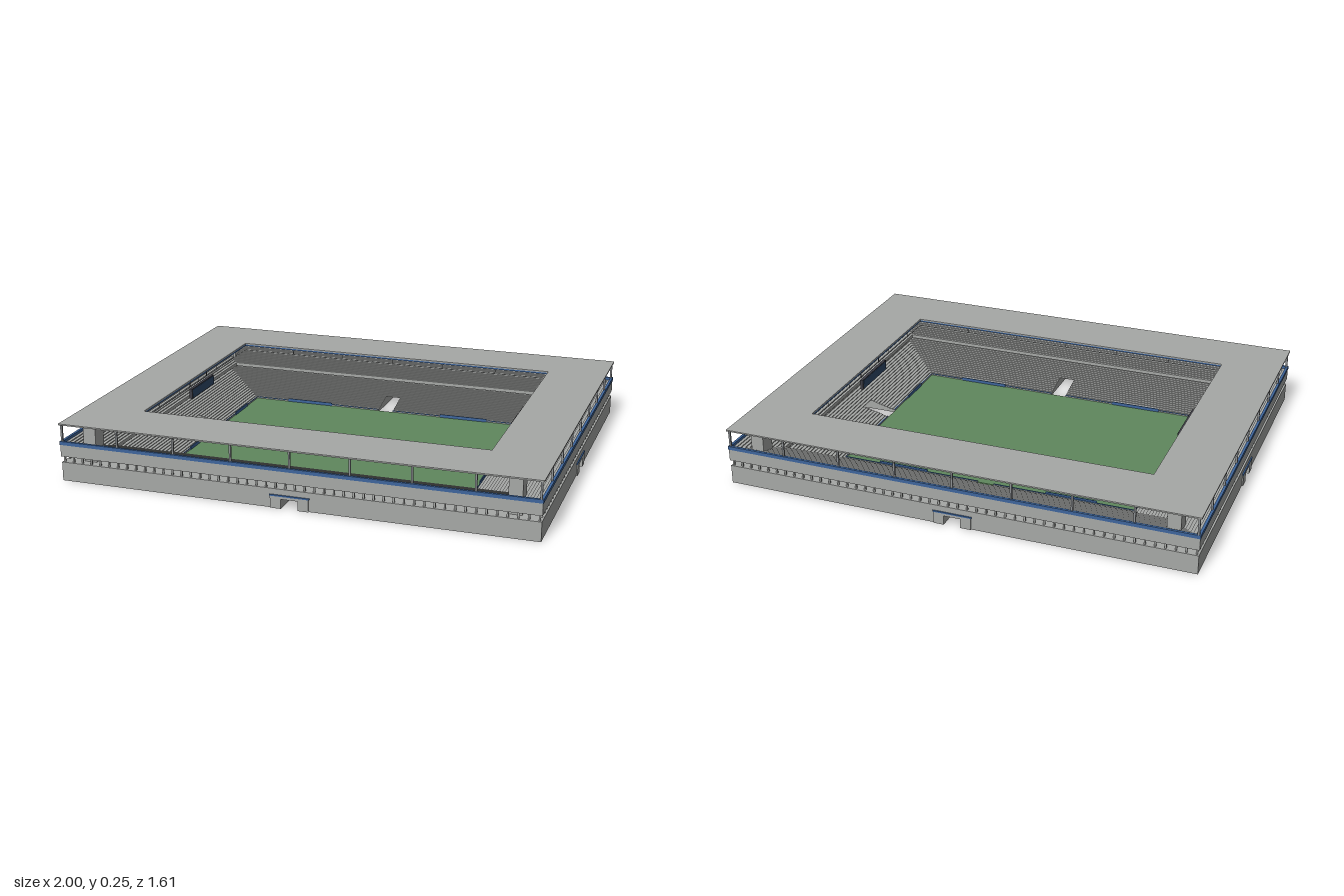
import * as THREE from 'three';

const PX = 0.645, PZ = 0.45; // half size of the pitch; offsets d run outward from it
const GATE = 0.035, GATE_H = 0.04;

const mat = (name, color, side = THREE.FrontSide) => {
  const m = new THREE.MeshStandardMaterial({ color, side });
  m.name = name;
  return m;
};

export function createModel() {
  const concrete = mat('concrete', 0xa6a8a6, THREE.DoubleSide);
  const grass = mat('grass', 0x5f875d);
  const blue = mat('blue trim', 0x3d659c, THREE.DoubleSide);
  const dark = mat('dark metal', 0x3c3c44);
  const steel = mat('steel', 0x8c8f92);
  const screenBlue = mat('screen face', 0x2f4a6c);

  const model = new THREE.Group();
  model.name = 'stadium';

  const box = (parent, name, m, w, h, d, x, y, z) => {
    const b = new THREE.Mesh(new THREE.BoxGeometry(w, h, d), m);
    b.name = name;
    b.position.set(x, y, z);
    parent.add(b);
    return b;
  };

  // Closed (d, y) profile run along one side; an end of null is mitred at the corner
  function strip(parent, name, m, profile, H, N, u0, u1) {
    const pos = [];
    const at = (u, sign, p) => [u === null ? sign * (H + p[0]) : u, p[1], N + p[0]];
    profile.forEach((a, i) => {
      const b = profile[(i + 1) % profile.length];
      const A = at(u0, -1, a), B = at(u1, 1, a), C = at(u1, 1, b), D = at(u0, -1, b);
      pos.push(...A, ...C, ...B, ...A, ...D, ...C);
    });
    // flat walls closing the ends that are not mitred
    const pts = profile.map(p => new THREE.Vector2(...p));
    const tris = THREE.ShapeUtils.triangulateShape(pts, []);
    for (const [u, flip] of [[u0, false], [u1, true]]) {
      if (u === null) continue;
      for (const t of tris) for (const k of flip ? [t[0], t[2], t[1]] : t) pos.push(...at(u, 1, profile[k]));
    }
    const g = new THREE.BufferGeometry();
    g.setAttribute('position', new THREE.Float32BufferAttribute(pos, 3));
    g.computeVertexNormals();
    const mesh = new THREE.Mesh(g, m);
    mesh.name = name;
    parent.add(mesh);
  }

  // Seat rows as a staircase from (d0, y0) to (d1, y1)
  const rows = (d0, y0, d1, y1, n) => {
    const out = [[d0, y0]];
    for (let i = 0; i < n; i++) {
      const d = d0 + (d1 - d0) * (i + 1) / n;
      out.push([d, y0 + (y1 - y0) * i / n], [d, y0 + (y1 - y0) * (i + 1) / n]);
    }
    return out;
  };
  const rect = (d0, y0, d1, y1) => [[d0, y0], [d0, y1], [d1, y1], [d1, y0]];

  const seats = rows(0, 0.012, 0.27, 0.08, 20);
  const lower = [[0, 0], ...seats, [0.35, 0.08], [0.35, 0]];
  const high = seats.filter(p => p[1] > GATE_H + 0.001);
  const overGate = [[high[0][0], GATE_H], ...high, [0.35, 0.08], [0.35, GATE_H]];
  const upper = [[0.185, 0.1], ...rows(0.185, 0.116, 0.33, 0.158, 11),
    [0.352, 0.158], [0.352, 0.105], [0.25, 0.105]];

  // Pitch
  box(model, 'pitch', grass, PX * 2, 0.008, PZ * 2, 0, 0.004, 0);

  // Four sides, each built facing +z and turned into place
  for (let s = 0; s < 4; s++) {
    const [H, N, step] = s % 2 ? [PZ, PX, 0.2] : [PX, PZ, 0.2475];
    const side = new THREE.Group();
    side.name = ['frontSide', 'leftSide', 'backSide', 'rightSide'][s];
    side.rotation.y = s * Math.PI / 2;
    model.add(side);

    // lower stand, split by the gate tunnel
    strip(side, 'lowerStand', concrete, lower, H, N, null, -GATE);
    strip(side, 'lowerStand', concrete, lower, H, N, GATE, null);
    strip(side, 'standOverGate', concrete, overGate, H, N, -GATE, GATE);
    // upper stand, parapet and roof
    strip(side, 'upperStand', concrete, upper, H, N, null, null);
    strip(side, 'parapet', blue, rect(0.343, 0.155, 0.354, 0.17), H, N, null, null);
    strip(side, 'roof', concrete, rect(0.097, 0.24, 0.355, 0.246), H, N, null, null);
    strip(side, 'roofEdge', blue, rect(0.0975, 0.233, 0.102, 0.2425), H, N, null, null);
    strip(side, 'lightRail', steel, rect(0.099, 0.211, 0.101, 0.213), H, N, null, null);

    // gate portal
    const zp = N + 0.3515;
    for (const k of [-1, 1]) box(side, 'gateJamb', concrete, 0.045, 0.05, 0.007, k * 0.0575, 0.025, zp);
    box(side, 'gateLintel', concrete, 0.16, 0.01, 0.007, 0, 0.045, zp);
    box(side, 'gateCanopy', blue, 0.166, 0.006, 0.009, 0, 0.053, N + 0.3505);

    // roof posts and rail hangers
    for (let i = -4; i <= 4; i++) {
      const u = i * step;
      if (i < 4) box(side, 'roofPost', steel, 0.008, 0.08, 0.008, u, 0.2, N + 0.345);
      if (Math.abs(u) < H + 0.09) box(side, 'railHanger', steel, 0.002, 0.025, 0.002, u, 0.224, N + 0.1);
    }

    // short columns in the open concourse
    const n = Math.round((H + 0.34) * 2 / 0.04);
    for (let i = 0; i < n; i++)
      box(side, 'concourseColumn', concrete, 0.007, 0.026, 0.007, -(H + 0.34) + i * 2 * (H + 0.34) / n, 0.092, N + 0.34);

    // boards beside the pitch
    for (const k of [-1, 1]) {
      const w = s % 2 ? 0.14 : 0.22;
      box(side, 'pitchBoard', blue, w, 0.014, 0.004, k * (s % 2 ? 0.25 : 0.375), 0.015, N - 0.001);
    }
    for (const k of [-1, 1])
      box(side, 'pitchRail', blue, H - GATE, 0.003, 0.003, k * (H + GATE) / 2, 0.0135, N + 0.002);

    // scoreboard over the short sides
    if (s % 2) {
      box(side, 'scoreboard', dark, 0.235, 0.045, 0.014, 0, 0.192, N + 0.083);
      box(side, 'scoreboardFace', screenBlue, 0.222, 0.037, 0.002, 0, 0.192, N + 0.0755);
      for (const k of [-1, 1]) box(side, 'scoreboardHanger', dark, 0.004, 0.03, 0.004, k * 0.09, 0.227, N + 0.099);
    }
  }

  // Corner towers with a floodlight beam reaching toward the roof opening
  for (const sx of [-1, 1]) for (const sz of [-1, 1]) {
    box(model, 'cornerTower', concrete, 0.055, 0.165, 0.07, sx * 0.885, 0.1575, sz * 0.725);
    const dx = 0.09, dz = 0.125;
    const beam = box(model, 'floodlightBeam', dark, 0.018, 0.009, Math.hypot(dx, dz), sx * 0.818, 0.221, sz * 0.627);
    beam.rotation.y = Math.atan2(sx * dx, sz * dz);
  }
  return model;
}
